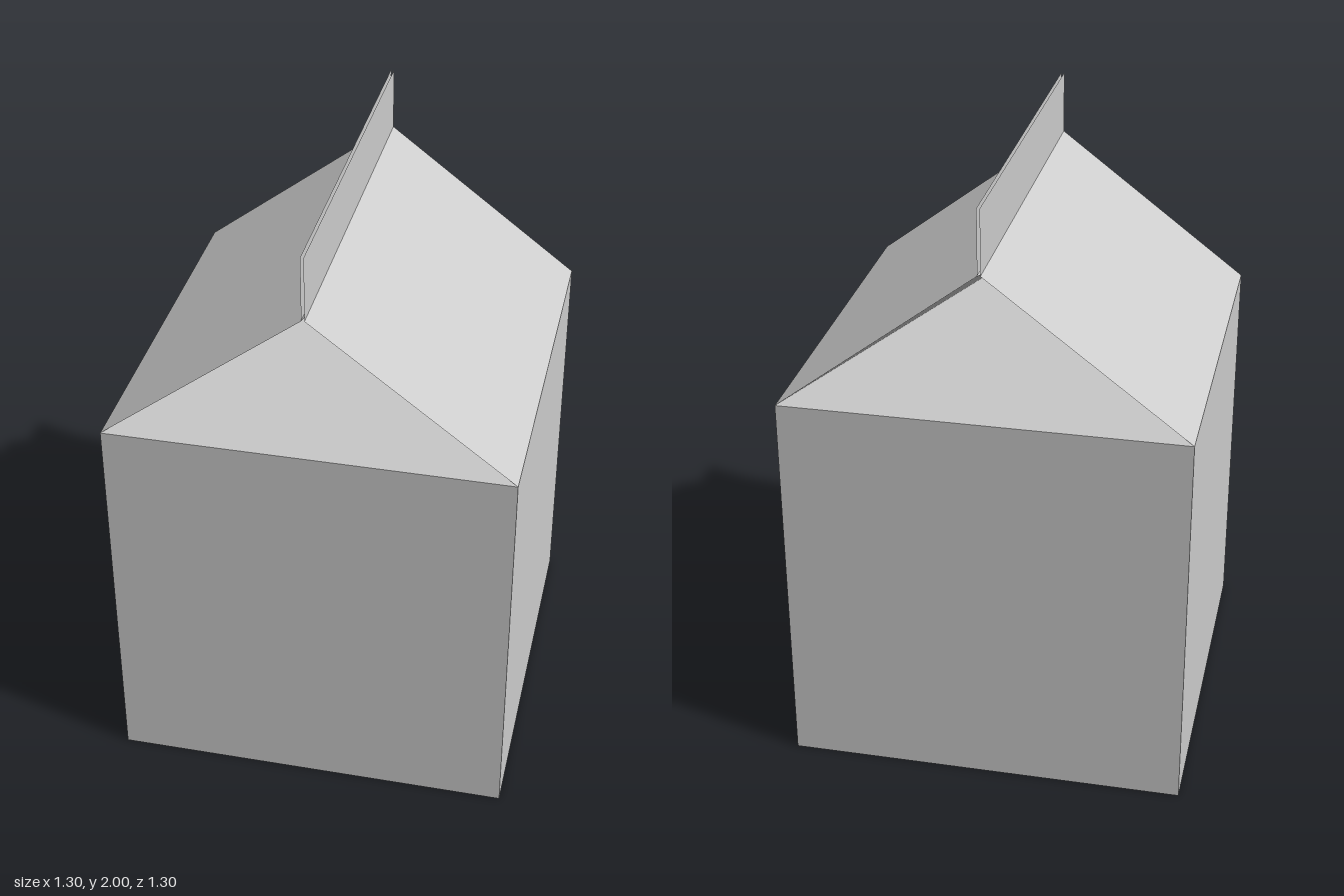
import * as THREE from 'three';

const HALF = 0.65;    // half width and depth
const WALL = 1.3;     // top of the square body
const RIDGE = 1.79;   // where the roof panels meet
const TOP = 2.0;      // top of the sealing fin
const GAP = 0.005;    // half thickness of the fin

const paperboard = new THREE.MeshStandardMaterial({ color: 0xcccccc });
paperboard.name = 'paperboard';
paperboard.side = THREE.DoubleSide;

// Flat panel from three or four corners, counter-clockwise from outside
function panel(name, corners) {
  const geometry = new THREE.BufferGeometry();
  geometry.setAttribute('position', new THREE.Float32BufferAttribute(corners.flat(), 3));
  geometry.setIndex(corners.length === 4 ? [0, 1, 2, 0, 2, 3] : [0, 1, 2]);
  geometry.computeVertexNormals();
  const mesh = new THREE.Mesh(geometry, paperboard);
  mesh.name = name;
  return mesh;
}

// Half of the folded top: one roof slope, one fin sheet, one gusset with its folds
function topHalf() {
  const half = new THREE.Group();
  half.add(panel('roofSlope', [
    [HALF, WALL, HALF], [HALF, WALL, -HALF], [GAP, RIDGE, -HALF], [GAP, RIDGE, HALF],
  ]));
  half.add(panel('sealingFin', [
    [GAP, RIDGE, HALF], [GAP, RIDGE, -HALF], [GAP, TOP, -HALF], [GAP, TOP, HALF],
  ]));

  // Gusset pushed inward under the roof
  const apex = [0, 1.655, 0.2];
  const left = [HALF, WALL, HALF];
  const right = [-HALF, WALL, HALF];
  half.add(panel('gusset', [right, left, apex]));
  half.add(panel('gussetFoldLeft', [left, [GAP, RIDGE, HALF], apex]));
  half.add(panel('gussetFoldRight', [[-GAP, RIDGE, HALF], right, apex]));
  return half;
}

export function createModel() {
  const carton = new THREE.Group();
  carton.name = 'carton';

  // Square body
  const body = new THREE.Mesh(new THREE.BoxGeometry(2 * HALF, WALL, 2 * HALF), paperboard);
  body.name = 'body';
  body.position.y = WALL / 2;
  carton.add(body);

  // Gable top, the same on both sides
  ['frontTop', 'backTop'].forEach((name, i) => {
    const half = topHalf();
    half.name = name;
    half.rotation.y = i * Math.PI;
    carton.add(half);
  });
  return carton;
}
